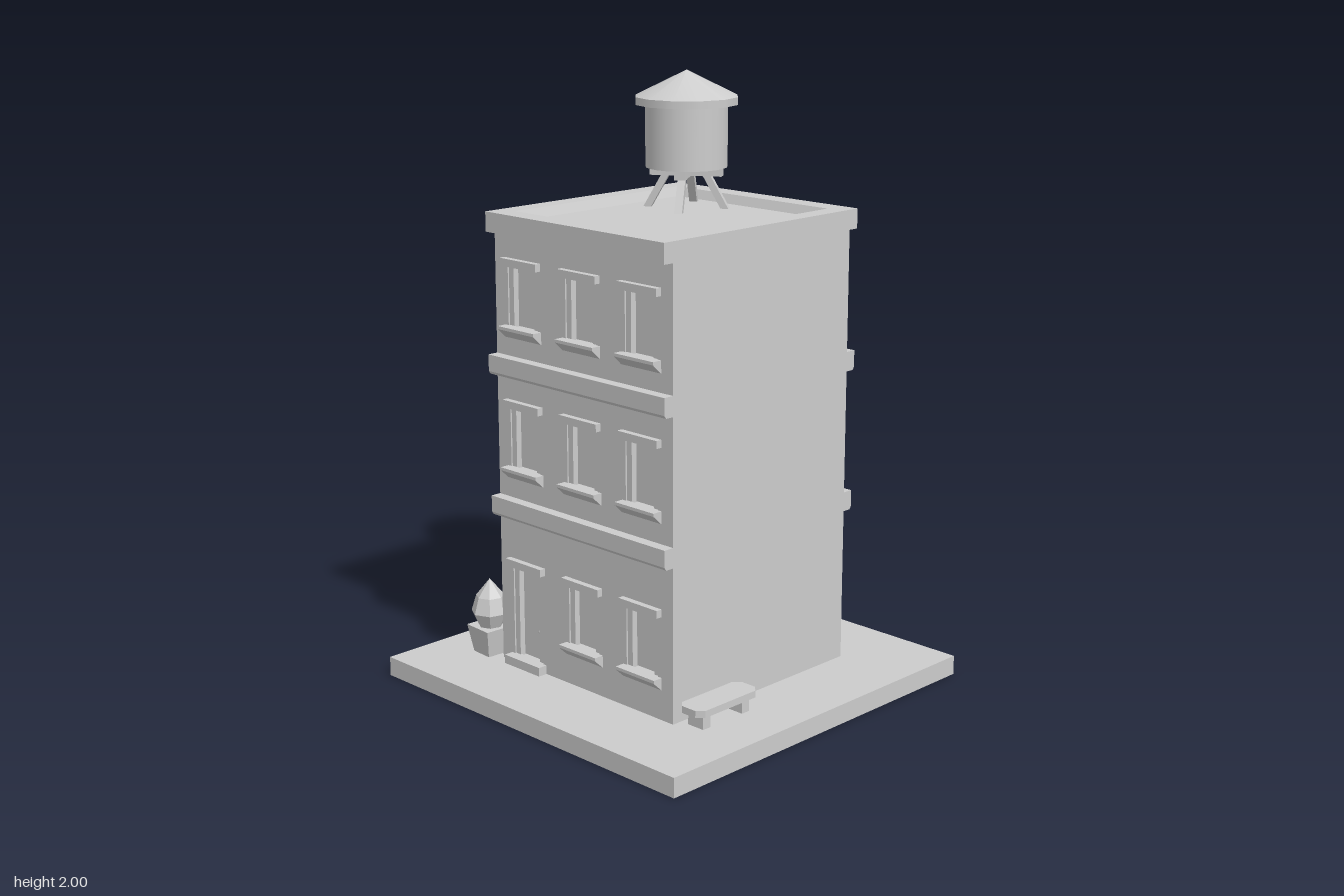
import * as THREE from 'three';

const stone = new THREE.MeshStandardMaterial({ color: 0xcccccc });
stone.name = 'light grey';

export function createModel() {
  const model = new THREE.Group();
  model.name = 'apartmentBuilding';

  const add = (name, geometry, x = 0, y = 0, z = 0, parent = model) => {
    const mesh = new THREE.Mesh(geometry, stone);
    mesh.name = name;
    mesh.position.set(x, y, z);
    parent.add(mesh);
    return mesh;
  };
  // box given by its ranges on each axis
  const block = (name, x0, x1, y0, y1, z0, z1, parent) =>
    add(name, new THREE.BoxGeometry(x1 - x0, y1 - y0, z1 - z0),
      (x0 + x1) / 2, (y0 + y1) / 2, (z0 + z1) / 2, parent);
  const faceted = (geometry) => {
    const g = geometry.index ? geometry.toNonIndexed() : geometry;
    g.computeVertexNormals();
    return g;
  };
  // (z, y) outline stretched along x
  const moulding = (points, width) => {
    const shape = new THREE.Shape(points.map(([z, y]) => new THREE.Vector2(z, y)));
    const g = new THREE.ExtrudeGeometry(shape, { depth: width, bevelEnabled: false });
    return g.translate(0, 0, -width / 2).rotateY(-Math.PI / 2);
  };

  const GROUND = 0.065, ROOF = 1.55, FACE = 0.4, INSET = 0.37;
  const columns = [-0.27, 0, 0.265];
  const floors = [{ sill: 0.205, head: 0.405 }, { sill: 0.745, head: 0.945 }, { sill: 1.215, head: 1.41 }];

  // ground slab and main body
  block('groundSlab', -0.67, 0.67, 0, GROUND, -0.67, 0.67);
  block('buildingBody', -0.4, 0.4, GROUND, ROOF, -0.4, INSET);

  // front wall with openings for the windows and the door
  const wall = new THREE.Shape();
  wall.moveTo(-0.4, GROUND).lineTo(0.4, GROUND).lineTo(0.4, ROOF).lineTo(-0.4, ROOF).closePath();
  floors.forEach(({ sill, head }, f) => columns.forEach((x, c) => {
    const isDoor = f === 0 && c === 0;
    const y0 = isDoor ? 0.09 : sill - 0.005;
    const hole = new THREE.Path();
    hole.moveTo(x - 0.07, y0).lineTo(x - 0.07, head).lineTo(x + 0.07, head).lineTo(x + 0.07, y0).closePath();
    wall.holes.push(hole);

    const opening = new THREE.Group();
    opening.name = isDoor ? 'door' : 'window';
    opening.position.x = x;
    model.add(opening);
    for (const s of [-1, 1]) {
      add('jamb', new THREE.BoxGeometry(0.022, head - y0, 0.02), s * 0.059, (head + y0) / 2, 0.385, opening);
    }
    block('lintel', -0.085, 0.085, head, head + 0.025, 0.39, 0.421, opening);
    if (isDoor) {
      block('doorStep', -0.085, 0.085, GROUND, 0.095, 0.39, 0.433, opening);
      add('doorKnob', new THREE.SphereGeometry(0.006, 8, 6), 0.03, 0.19, 0.376, opening);
    } else {
      add('sill', moulding([[0.395, -0.04], [0.402, -0.04], [0.434, -0.01], [0.434, 0], [0.395, 0]], 0.17),
        0, sill, 0, opening);
    }
  }));
  add('frontWall', new THREE.ExtrudeGeometry(wall, { depth: FACE - INSET, bevelEnabled: false }), 0, 0, INSET);

  // storey bands on the front and back
  for (const y of [0.575, 1.05]) {
    for (const turn of [0, Math.PI]) {
      const band = add('storeyBand',
        moulding([[0.395, 0], [0.43, 0], [0.437, 0.01], [0.437, 0.065], [0.395, 0.065]], 0.8), 0, y, 0);
      band.rotation.y = turn;
    }
  }

  // square parapet ring with sloping inner faces
  const ring = [[0.3, 1.515], [0.4, 1.515], [0.4, 1.58], [0.335, 1.58], [0.32, ROOF - 0.002]]
    .map(([r, y]) => new THREE.Vector2(r * Math.SQRT2, y));
  add('parapet', faceted(new THREE.LatheGeometry(ring, 4).rotateY(Math.PI / 4).scale(1, 1, 1.093)));

  // water tank on splayed legs
  const tank = new THREE.Group();
  tank.name = 'waterTank';
  tank.position.set(-0.137, 0, -0.205);
  model.add(tank);
  add('tankBarrel', new THREE.CylinderGeometry(0.135, 0.135, 0.205, 24), 0, 1.7875, 0, tank);
  add('tankRoofRim', new THREE.CylinderGeometry(0.172, 0.172, 0.025, 12), 0, 1.9025, 0, tank);
  add('tankRoof', new THREE.ConeGeometry(0.172, 0.085, 12), 0, 1.9575, 0, tank);
  const stand = new THREE.Group();
  stand.name = 'tankStand';
  stand.rotation.y = 0.58;
  tank.add(stand);
  block('standBeam', -0.018, 0.018, 1.655, 1.69, -0.12, 0.12, stand);
  block('standBeam', -0.12, 0.12, 1.656, 1.69, -0.018, 0.018, stand);
  for (let i = 0; i < 4; i++) {
    const leg = add('tankLeg', new THREE.BoxGeometry(0.026, 0.12, 0.026), 0, 0, 0, stand);
    // lean each leg outward towards its foot
    const p = leg.geometry.attributes.position;
    for (let k = 0; k < p.count; k++) {
      const low = p.getY(k) < 0;
      p.setY(k, low ? ROOF - 0.001 : 1.665);
      p.setZ(k, p.getZ(k) + (low ? 0.13 : 0.065));
    }
    leg.geometry.computeVertexNormals();
    leg.rotation.y = i * Math.PI / 2;
  }

  // bench beside the right-hand wall, seat with clipped corners
  const bench = new THREE.Group();
  bench.name = 'bench';
  bench.position.set(0.462, 0, 0.26);
  model.add(bench);
  const seat = new THREE.Shape([[0.05, 0.113], [0.028, 0.135], [-0.028, 0.135], [-0.05, 0.113],
    [-0.05, -0.113], [-0.028, -0.135], [0.028, -0.135], [0.05, -0.113]].map(([x, y]) => new THREE.Vector2(x, y)));
  add('benchSeat', new THREE.ExtrudeGeometry(seat, { depth: 0.023, bevelEnabled: false })
    .rotateX(-Math.PI / 2), 0, 0.113, 0, bench);
  for (const z of [-0.088, 0.088]) block('benchLeg', -0.032, 0.032, GROUND, 0.114, z - 0.016, z + 0.016, bench);

  // planter with a pointed shrub
  const planter = new THREE.Group();
  planter.name = 'planter';
  planter.position.set(-0.47, 0, 0.395);
  planter.rotation.y = -0.06;
  model.add(planter);
  add('pot', faceted(new THREE.CylinderGeometry(0.08, 0.058, 0.095, 4).rotateY(Math.PI / 4)), 0, 0.1125, 0, planter);
  const leaf = [[0, 0.155], [0.04, 0.158], [0.065, 0.21], [0.048, 0.265], [0, 0.325]]
    .map(([r, y]) => new THREE.Vector2(r, y));
  add('shrub', faceted(new THREE.LatheGeometry(leaf, 7)), 0, 0, 0, planter);

  // crate behind the building
  const crate = add('crate', new THREE.BoxGeometry(0.088, 0.085, 0.088), -0.468, GROUND + 0.0425, -0.31);
  crate.rotation.y = -0.37;

  return model;
}
